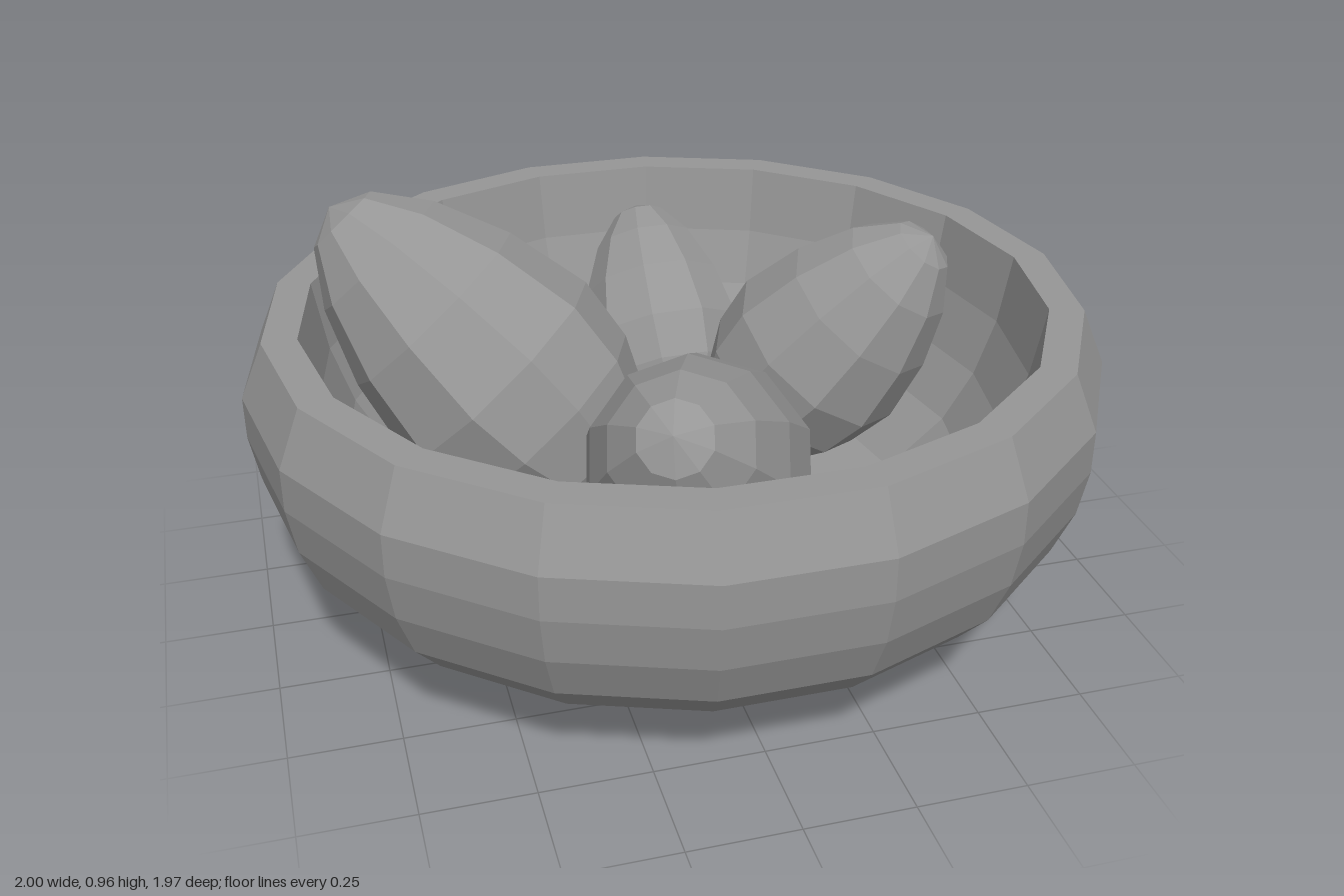
import * as THREE from 'three';

const material = new THREE.MeshStandardMaterial({ color: 0x969696, flatShading: true });

function lathe(name, profile, sides) {
  const points = profile.map(([r, y]) => new THREE.Vector2(r, y));
  const mesh = new THREE.Mesh(new THREE.LatheGeometry(points, sides, Math.PI / 2), material);
  mesh.name = name;
  return mesh;
}

// Egg-shaped piece: widest at `center`, its narrow end reaching `tip`
function makeEgg(name, center, tip, radius) {
  const from = new THREE.Vector3(...center);
  const axis = new THREE.Vector3(...tip).sub(from);
  const front = axis.length(), back = radius * 1.42, rings = 8;
  const profile = [];
  for (let i = 0; i <= rings; i++) {
    const a = -Math.PI / 2 + (Math.PI * i) / rings;
    const s = Math.sin(a);
    const taper = s > 0 ? 1 - 0.2 * s : 1;
    const r = i === 0 || i === rings ? 0 : radius * 1.02 * Math.cos(a) * taper;
    profile.push([r, s * (s > 0 ? front : back)]);
  }
  const egg = lathe(name, profile, 10);
  egg.position.copy(from);
  egg.quaternion.setFromUnitVectors(new THREE.Vector3(0, 1, 0), axis.normalize());
  return egg;
}

export function createModel() {
  const model = new THREE.Group();
  model.name = 'bowlOfEggs';

  // Thick-walled bowl: outside going up, flat rim, inside going down
  model.add(lathe('bowl', [
    [0, 0], [0.34, 0], [0.61, 0.07], [0.75, 0.14], [0.865, 0.22], [0.935, 0.3], [0.98, 0.41],
    [1, 0.52], [1, 0.62], [0.945, 0.75],
    [0.865, 0.75], [0.835, 0.58], [0.785, 0.44],
    [0.71, 0.32], [0.57, 0.2], [0.34, 0.125], [0, 0.12],
  ], 18));

  // Four eggs leaning outward
  model.add(makeEgg('leftEgg', [0.373, 0.555, -0.022], [0.59, 0.885, 0.12], 0.236));
  model.add(makeEgg('rightEgg', [-0.4, 0.53, -0.16], [-0.75, 0.925, -0.33], 0.297));
  model.add(makeEgg('frontEgg', [-0.042, 0.492, 0.355], [-0.19, 0.78, 0.69], 0.258));
  model.add(makeEgg('backEgg', [0.085, 0.44, -0.42], [0.08, 0.71, -0.675], 0.207));

  return model;
}
